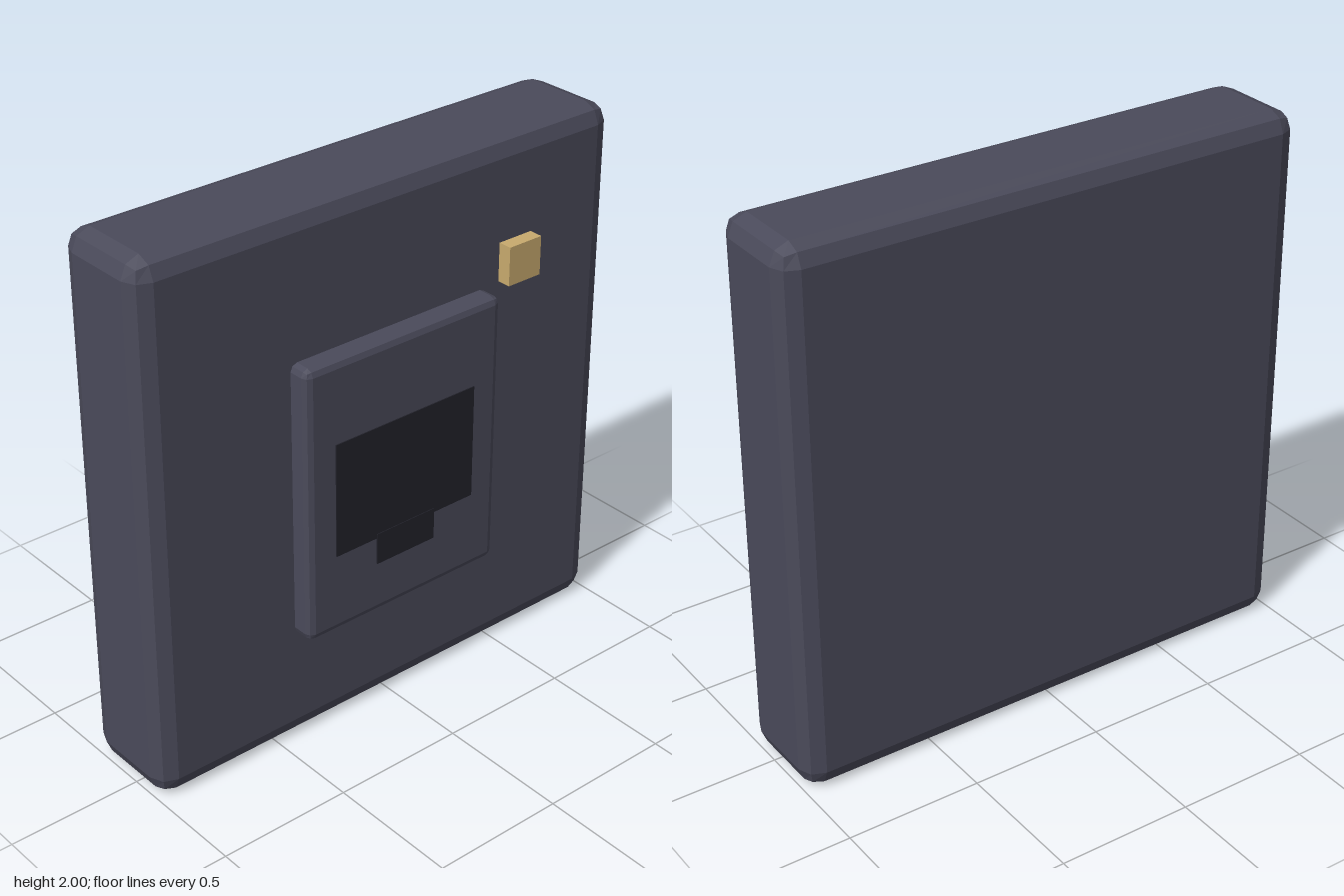
import * as THREE from 'three';

const flat = (name, color) => {
  const m = new THREE.MeshStandardMaterial({ color });
  m.name = name;
  return m;
};

// Box with every edge rounded in two flat facets of radius r
function bevelledBox(w, h, d, r) {
  const box = new THREE.BoxGeometry(2, 2, 2, 3, 3, 3);
  const p = box.attributes.position;
  const half = new THREE.Vector3(w / 2 - r, h / 2 - r, d / 2 - r);
  const v = new THREE.Vector3(), n = new THREE.Vector3();
  const outer = (c) => (Math.abs(c) > 0.9 ? Math.sign(c) : 0);
  for (let i = 0; i < p.count; i++) {
    v.fromBufferAttribute(p, i);
    n.set(outer(v.x), outer(v.y), outer(v.z)).normalize();
    p.setXYZ(i,
      Math.sign(v.x) * half.x + n.x * r,
      Math.sign(v.y) * half.y + n.y * r,
      Math.sign(v.z) * half.z + n.z * r);
  }
  const geometry = box.toNonIndexed();
  geometry.computeVertexNormals(); // separate corners give faceted normals
  return geometry;
}

export function createModel() {
  const group = new THREE.Group();
  group.name = 'wallSocket';
  const casing = flat('slate casing', 0x4a4a5a);
  const dark = flat('dark opening', 0x22222a);
  const gold = flat('gold', 0xc8aa6e);

  const add = (name, geometry, material, x, y, z) => {
    const mesh = new THREE.Mesh(geometry, material);
    mesh.name = name;
    mesh.position.set(x, y, z);
    group.add(mesh);
  };

  // Square wall box and the raised socket panel
  add('body', bevelledBox(2, 2, 0.395, 0.07), casing, 0, 1, -0.0435);
  add('socketPanel', bevelledBox(0.845, 1.042, 0.16, 0.027), casing, 0, 0.955, 0.154);

  // Port opening with its latch notch, as thin plates
  add('portOpening', new THREE.BoxGeometry(0.61, 0.433, 0.008), dark, 0, 0.955, 0.234);
  add('latchNotch', new THREE.BoxGeometry(0.256, 0.12, 0.009), dark, 0, 0.696, 0.2365);

  // Indicator block
  add('indicator', new THREE.BoxGeometry(0.144, 0.144, 0.052), gold, 0.551, 1.556, 0.184);

  return group;
}
